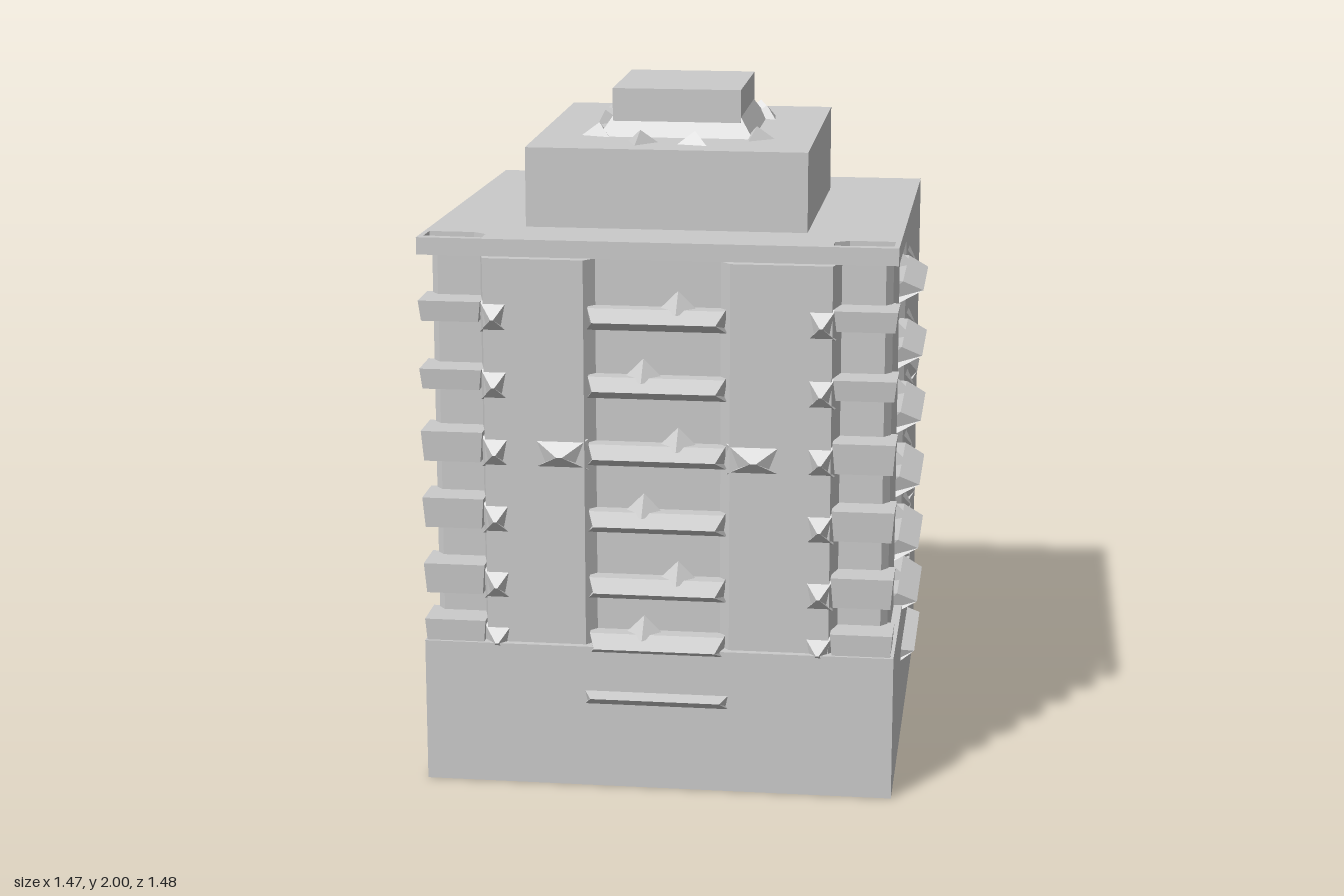
import * as THREE from 'three';

const mat = new THREE.MeshStandardMaterial({ color: 0xcccccc, flatShading: true, side: THREE.DoubleSide });

function add(parent, name, geo, x = 0, y = 0, z = 0, ry = 0) {
  const m = new THREE.Mesh(geo, mat);
  m.name = name;
  m.position.set(x, y, z);
  m.rotation.y = ry;
  parent.add(m);
  return m;
}

// box given by its minimum and maximum corners
function block(parent, name, a, b) {
  return add(parent, name, new THREE.BoxGeometry(b[0] - a[0], b[1] - a[1], b[2] - a[2]),
    (a[0] + b[0]) / 2, (a[1] + b[1]) / 2, (a[2] + b[2]) / 2);
}

const shape = (pts) => new THREE.Shape(pts.map((p) => new THREE.Vector2(p[0], p[1])));

// plan outline in (x, z) raised from y0 to y1
function prism(plan, y0, y1) {
  return new THREE.ExtrudeGeometry(plan, { depth: y1 - y0, bevelEnabled: false })
    .rotateX(Math.PI / 2).translate(0, y1, 0);
}

// (depth, y) profile swept across a width, facing +z; narrows to "tip" at its outer edge
function lip(profile, width, tip = 1) {
  const g = new THREE.ExtrudeGeometry(shape(profile), { depth: width, bevelEnabled: false })
    .translate(0, 0, -width / 2).rotateY(-Math.PI / 2);
  const p = g.attributes.position;
  const out = Math.max(...profile.map((q) => q[0]));
  for (let i = 0; i < p.count; i++) {
    const t = Math.max(0, p.getZ(i) / out);
    p.setX(i, p.getX(i) * (1 + (tip - 1) * t));
  }
  g.computeVertexNormals();
  return g;
}

export function createModel() {
  const model = new THREE.Group();
  model.name = 'apartmentBlock';
  const floors = [0.43, 0.6, 0.8, 1.0, 1.2, 1.4];

  block(model, 'base', [-0.685, 0, -0.72], [0.69, 0.43, 0.685]);

  // tower with shallow balcony bays and notched front corners
  const half = [[0.18, 0.63], [0.21, 0.665], [0.5, 0.665], [0.52, 0.585], [0.645, 0.585], [0.665, 0.56],
    [0.665, 0.21], [0.635, 0.18], [0.635, -0.18], [0.665, -0.21], [0.67, -0.45], [0.685, -0.7], [0.685, -0.72],
    [0.64, -0.68]];
  const mirrored = half.map(([x, z]) => [-x, z]).reverse();
  add(model, 'tower', prism(shape([...half, ...mirrored]), 0.4, 1.575));

  // uneven rear wall, flush at its edges and rippling inward between them
  const wall = new THREE.PlaneGeometry(1.37, 1.17, 16, 12);
  const wp = wall.attributes.position;
  for (let i = 0; i < wp.count; i++) {
    const x = wp.getX(i), y = wp.getY(i);
    const edge = Math.min(1, (0.685 - Math.abs(x)) / 0.15);
    wp.setZ(i, -0.012 * edge * (1 + Math.sin(x * 14) * Math.cos(y * 9)));
  }
  wall.computeVertexNormals();
  add(model, 'rearWall', wall, 0, 0.99, -0.72, Math.PI);

  // roof slab with open front corners, dropping slightly to the back
  const plan = shape([[-0.685, -0.72], [0.685, -0.72], [0.685, 0.685], [-0.685, 0.685]]);
  for (const s of [-1, 1]) {
    plan.holes.push(new THREE.Path([[0.5, 0.6], [0.54, 0.57], [0.67, 0.57], [0.67, 0.65], [0.5, 0.66]]
      .map(([x, z]) => new THREE.Vector2(s * x, z))));
  }
  const slab = prism(plan, 1.585, 1.635);
  const sp = slab.attributes.position;
  for (let i = 0; i < sp.count; i++) sp.setY(i, sp.getY(i) - 0.032 * (0.69 - sp.getZ(i)));
  slab.computeVertexNormals();
  add(model, 'roofSlab', slab);

  // penthouse and flared roof cap
  block(model, 'penthouse', [-0.41, 1.57, -0.445], [0.41, 1.86, 0.45]);
  block(model, 'roofCap', [-0.19, 1.85, -0.21], [0.19, 2, 0.2]);
  const flare = new THREE.CylinderGeometry(0.19 * Math.SQRT2, 0.23 * Math.SQRT2, 0.06, 4).rotateY(Math.PI / 4);
  add(model, 'capFlare', flare, 0, 1.888, 0);

  // small vents on the penthouse roof and at the corners of the cap
  const vents = [[-0.24, -0.33], [-0.08, -0.32], [0.09, -0.32], [0.2, -0.32], [-0.09, 0.33], [0.07, 0.33],
    [-0.25, -0.05], [-0.23, 0.2], [0.24, 0.22], [0.23, -0.2]];
  vents.forEach(([x, z], i) => add(model, 'roofVent', new THREE.ConeGeometry(0.055, 0.04, 3), x, 1.878, z, i));

  // balconies on the front and both sides
  const balcony = [[-0.06, -0.025], [0, -0.025], [0.07, 0.01], [0.01, 0.04], [-0.06, 0.04]];
  const spike = [[-0.02, -0.04], [0, -0.04], [0.03, 0.0], [0, 0.05], [-0.02, 0.05]];
  const faces = [['front', 0], ['left', Math.PI / 2], ['right', -Math.PI / 2]];
  for (const [side, angle] of faces) {
    const face = new THREE.Group();
    face.name = side + 'Balconies';
    face.rotation.y = angle;
    const back = side === 'left' ? 1 : -1; // local x direction towards the rear
    floors.forEach((y, i) => {
      add(face, 'balcony', lip(balcony, 0.4, 0.88), 0, y, 0.665);
      // peaked rail above each balcony
      add(face, 'balconyRail', new THREE.ConeGeometry(0.06, 0.06, 4), i % 2 ? 0.06 : -0.04, y + 0.06, 0.645);
      if (side === 'front') {
        for (const s of [-1, 1]) add(face, 'wallSpur', lip(spike, 0.08, 0.1), s * 0.47, y, 0.66);
      } else {
        add(face, 'wallSpur', lip(spike, 0.12, 0.1), back * 0.33, y, 0.66);
        if (i === 1 || i === 3) add(face, 'rearLedge', lip(spike, 0.28, 0.6), back * 0.575, y, 0.665);
      }
    });
    // canopy at ground level
    add(face, 'canopy', lip([[-0.02, -0.02], [0, -0.02], [0.045, 0.01], [0, 0.02], [-0.02, 0.02]], 0.42, 0.9),
      0, 0.275, 0.685);
    model.add(face);
  }

  // wall spurs beside the middle front balcony
  for (const s of [-1, 1]) add(model, 'frontSpur', lip(spike, 0.16, 0.1), s * 0.28, 1, 0.66);

  // corner balconies in the notches, deeper on the lower floors
  for (const s of [-1, 1]) {
    floors.forEach((y, i) => {
      const g = new THREE.CylinderGeometry(0.5, 0.46, 1, 4).rotateY(Math.PI / 4);
      const m = add(model, 'cornerBalcony', g, s * 0.595, y + 0.02, 0.615);
      m.scale.set(0.18 * Math.SQRT2, i < 4 ? 0.09 : 0.06, 0.13 * Math.SQRT2);
    });
  }

  // rear bay: gently bowed ground floor with a small porch above
  add(model, 'rearBay', lip([[-0.02, 0.02], [0, 0.02], [0.024, 0.28], [0, 0.44], [-0.02, 0.44]], 0.44, 0.9),
    0, 0, -0.72, Math.PI);
  add(model, 'rearPorch', lip([[-0.02, -0.03], [0, -0.03], [0.025, 0.02], [0, 0.1], [-0.02, 0.1]], 0.46, 0.6),
    0, 0.49, -0.705, Math.PI);
  return model;
}
